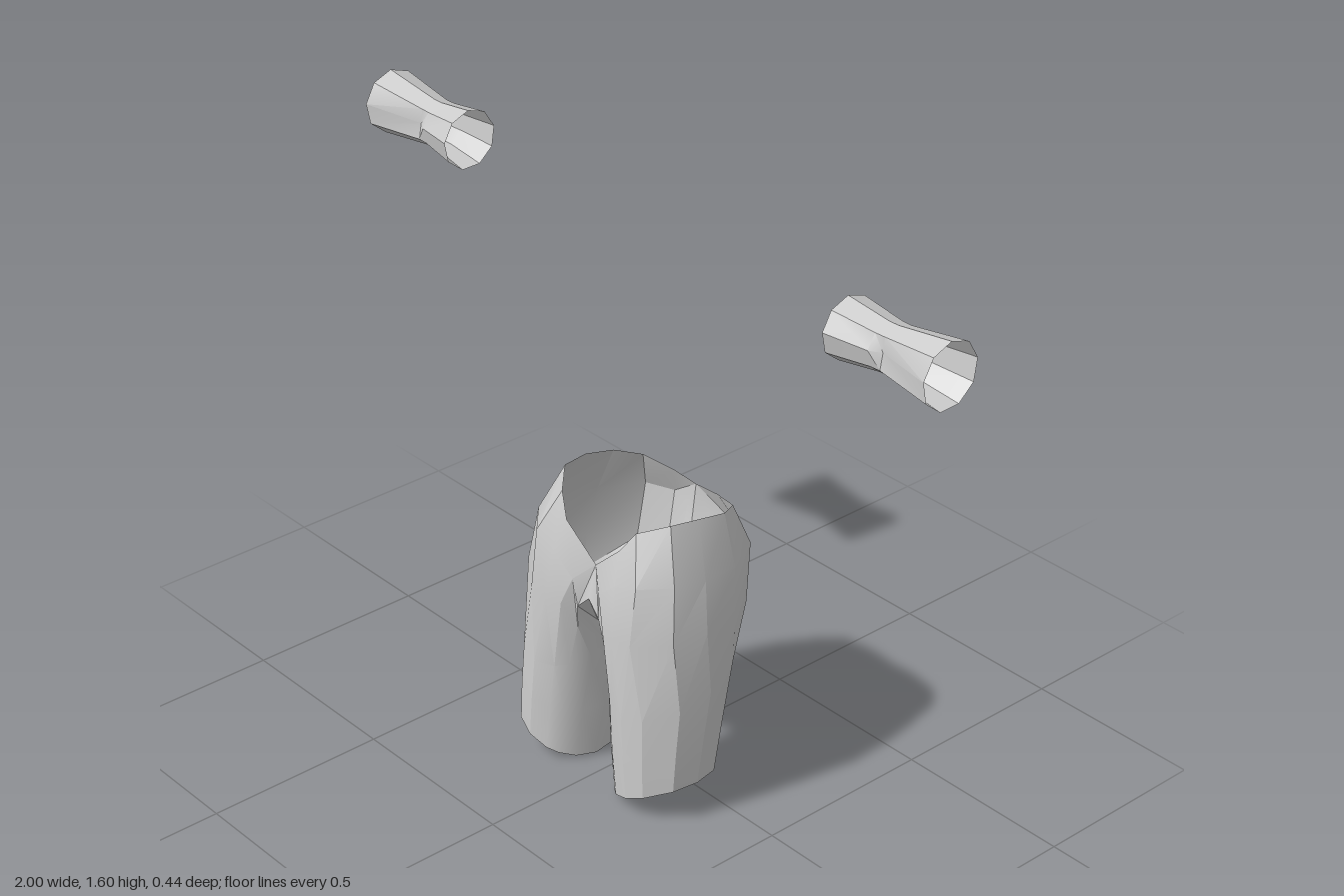
import * as THREE from 'three';
import { toCreasedNormals } from 'three/addons/utils/BufferGeometryUtils.js';

const material = new THREE.MeshStandardMaterial({ color: 0xcccccc, side: THREE.DoubleSide });
const CREASE = 0.42;

// Skins a stack of closed loops (each a list of [x, y, z]); mirrored adds the -x twin.
function skin(loops, mirrored = false) {
  const n = loops[0].length, pos = [], index = [];
  for (const side of mirrored ? [1, -1] : [1]) {
    const base = pos.length / 3;
    for (const loop of loops) for (const [x, y, z] of loop) pos.push(x * side, y, z);
    for (let r = 0; r < loops.length - 1; r++) {
      for (let c = 0; c < n; c++) {
        const a = base + r * n + c, b = base + r * n + (c + 1) % n;
        if (side > 0) index.push(a, b, b + n, a, b + n, a + n);
        else index.push(a, b + n, b, a, a + n, b + n);
      }
    }
  }
  const g = new THREE.BufferGeometry();
  g.setAttribute('position', new THREE.Float32BufferAttribute(pos, 3));
  g.setIndex(index);
  return toCreasedNormals(g, CREASE);
}

// Column directions around a leg: 0 = front, 90 = outside, 180 = back, 270 = inside
const ANGLES = [-25, 0, 25, 60, 90, 125, 155, 180, 205, 230, 250, 275, 300, 320];

// Oval leg ring whose height tilts with x and z
const legRing = (cx, cy, cz, rx, rz, tiltX, tiltZ) => ANGLES.map((deg) => {
  const t = THREE.MathUtils.degToRad(deg);
  const dx = rx * Math.sin(t), dz = rz * Math.cos(t);
  return [cx + dx, cy + tiltX * dx + tiltZ * dz, cz + dz];
});

// Loops at the upper thigh and hip, then the waist edge closed by the centre seam
const thigh = [
  [0.08, 0.5, 0.2], [0.13, 0.5, 0.21], [0.19, 0.5, 0.205], [0.28, 0.52, 0.14], [0.305, 0.53, 0.05],
  [0.285, 0.5, -0.06], [0.21, 0.49, -0.17], [0.12, 0.49, -0.195], [0.06, 0.48, -0.165],
  [0.05, 0.44, -0.13], [0.03, 0.41, -0.07], [0.025, 0.37, 0], [0.03, 0.38, 0.1], [0.05, 0.43, 0.17],
];
const hip = [
  [0.05, 0.58, 0.185], [0.12, 0.64, 0.192], [0.19, 0.66, 0.185], [0.26, 0.67, 0.12], [0.275, 0.66, 0.03],
  [0.262, 0.65, -0.08], [0.2, 0.65, -0.19], [0.12, 0.65, -0.22], [0.04, 0.66, -0.195],
  [0.045, 0.55, -0.175], [0.04, 0.46, -0.1], [0.03, 0.42, 0], [0.03, 0.44, 0.12], [0.04, 0.5, 0.178],
];
const waist = [
  [0, 0.63, 0.15], [0.1, 0.72, 0.16], [0.14, 0.78, 0.14], [0.2, 0.805, 0.08], [0.215, 0.8, 0],
  [0.21, 0.78, -0.09], [0.17, 0.76, -0.155], [0.08, 0.74, -0.185], [0, 0.735, -0.185],
  [0, 0.58, -0.165], [0, 0.45, -0.09], [0, 0.43, 0], [0, 0.455, 0.13], [0, 0.54, 0.175],
];

function createShorts() {
  const loops = [
    legRing(0.19, 0.05, 0.085, 0.122, 0.135, 0.42, 0),
    legRing(0.18, 0.19, 0.07, 0.135, 0.15, 0.2, -0.15),
    legRing(0.17, 0.36, 0.045, 0.145, 0.172, 0, -0.42),
    thigh, hip, waist,
  ];
  const shorts = new THREE.Mesh(skin(loops, true), material);
  shorts.name = 'shorts';
  return shorts;
}

// Flared cuff pinched in the middle, with a small fold on its front
function createCuff() {
  const SIDES = 9;
  const rings = [ // x, centre y, centre z, radius y, radius z, fold depth
    [0.68, 1.506, -0.02, 0.08, 0.081, 0],
    [0.8, 1.503, -0.028, 0.063, 0.065, 0],
    [0.83, 1.503, -0.028, 0.063, 0.063, 0.016],
    [1.0, 1.51, -0.02, 0.086, 0.086, 0],
  ];
  const loops = rings.map(([x, cy, cz, ry, rz, fold]) => Array.from({ length: SIDES }, (_, i) => {
    const t = (i / SIDES) * Math.PI * 2 + 0.15;
    return [x, cy + ry * Math.sin(t), cz + rz * Math.cos(t) - (i === 0 ? fold : 0)];
  }));
  return skin(loops.reverse());
}

export function createModel() {
  const model = new THREE.Group();
  model.name = 'outfit';
  model.add(createShorts());
  const cuff = createCuff();
  for (const [name, side] of [['leftWristCuff', 1], ['rightWristCuff', -1]]) {
    const mesh = new THREE.Mesh(cuff, material);
    mesh.name = name;
    mesh.scale.x = side;
    model.add(mesh);
  }
  return model;
}
